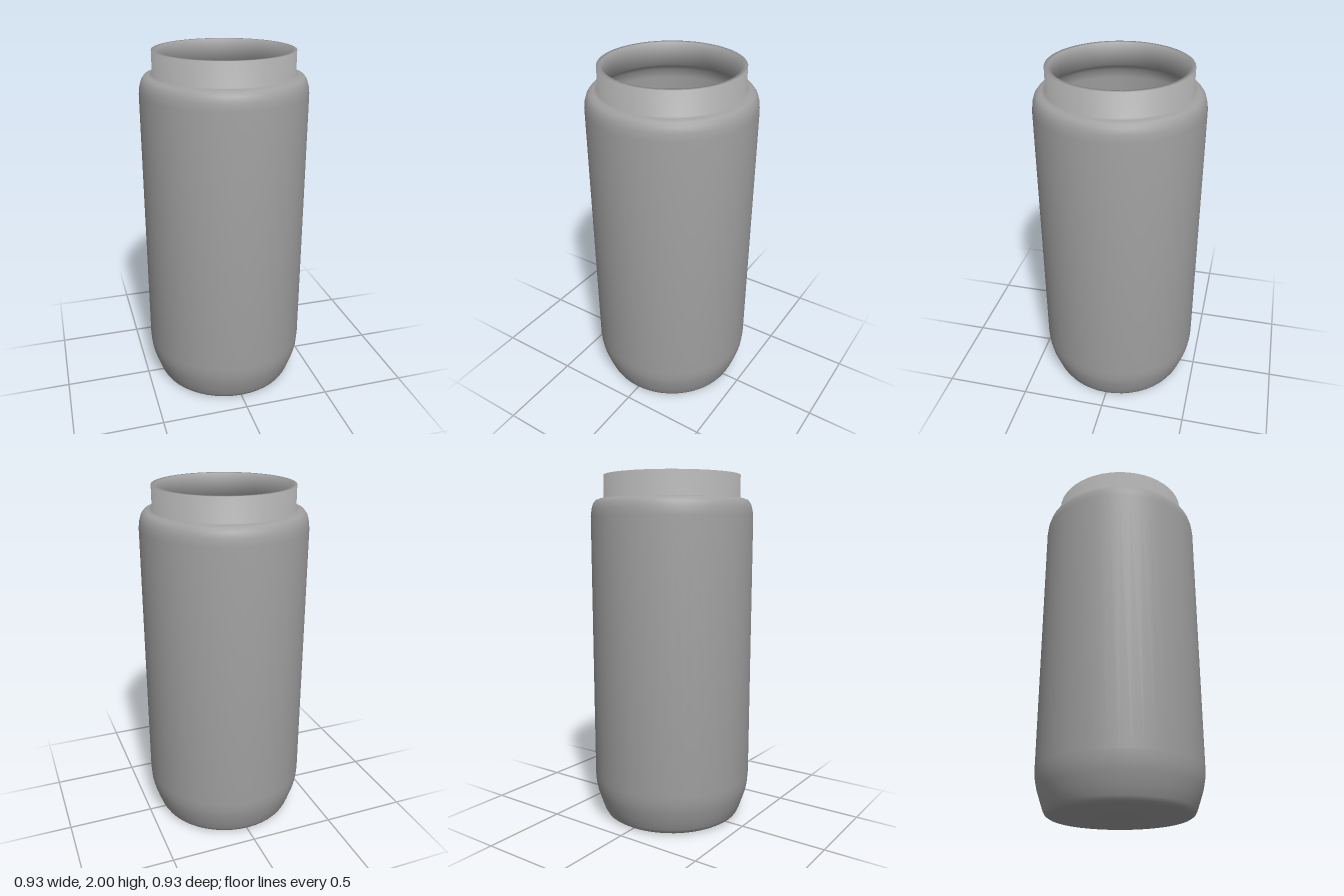
import * as THREE from 'three';

const SEGMENTS = 48;

// One closed [radius, height] section: out along the base, up, over the rim, down inside
const PROFILE = [
  // base and tapered foot
  [0, 0], [0.385, 0.003], [0.402, 0.014], [0.414, 0.035], [0.432, 0.085],
  [0.452, 0.145], [0.462, 0.195], [0.466, 0.25],
  // straight wall and rounded shoulder
  [0.466, 1.77], [0.461, 1.81], [0.452, 1.84], [0.437, 1.86], [0.415, 1.868],
  // neck and rim
  [0.391, 1.87], [0.391, 2], [0.367, 2], [0.367, 1.87],
  // hollow inside, down to the floor
  [0.41, 1.845], [0.432, 1.82], [0.44, 1.77], [0.44, 0.25], [0.425, 0.14],
  [0.38, 0.035], [0, 0.025],
];

// Revolve a profile, rounding the shading evenly across each corner
function revolve(profile) {
  const points = profile.map(([r, y]) => new THREE.Vector2(r, y));
  const geometry = new THREE.LatheGeometry(points, SEGMENTS);
  const facing = points.slice(1).map((p, i) => {
    const d = p.clone().sub(points[i]).normalize();
    return new THREE.Vector2(d.y, -d.x);
  });
  const last = facing.length - 1;
  const normals = points.map((p, i) =>
    facing[Math.max(i - 1, 0)].clone().add(facing[Math.min(i, last)]).normalize());
  const attribute = geometry.attributes.normal;
  for (let i = 0; i < attribute.count; i++) {
    const angle = Math.floor(i / points.length) / SEGMENTS * Math.PI * 2;
    const n = normals[i % points.length];
    attribute.setXYZ(i, n.x * Math.sin(angle), n.y, n.x * Math.cos(angle));
  }
  return geometry;
}

export function createModel() {
  const group = new THREE.Group();
  group.name = 'jar';
  const material = new THREE.MeshStandardMaterial({ color: 0xa0a0a0 });
  const body = new THREE.Mesh(revolve(PROFILE), material);
  body.name = 'jarBody';
  group.add(body);
  return group;
}
